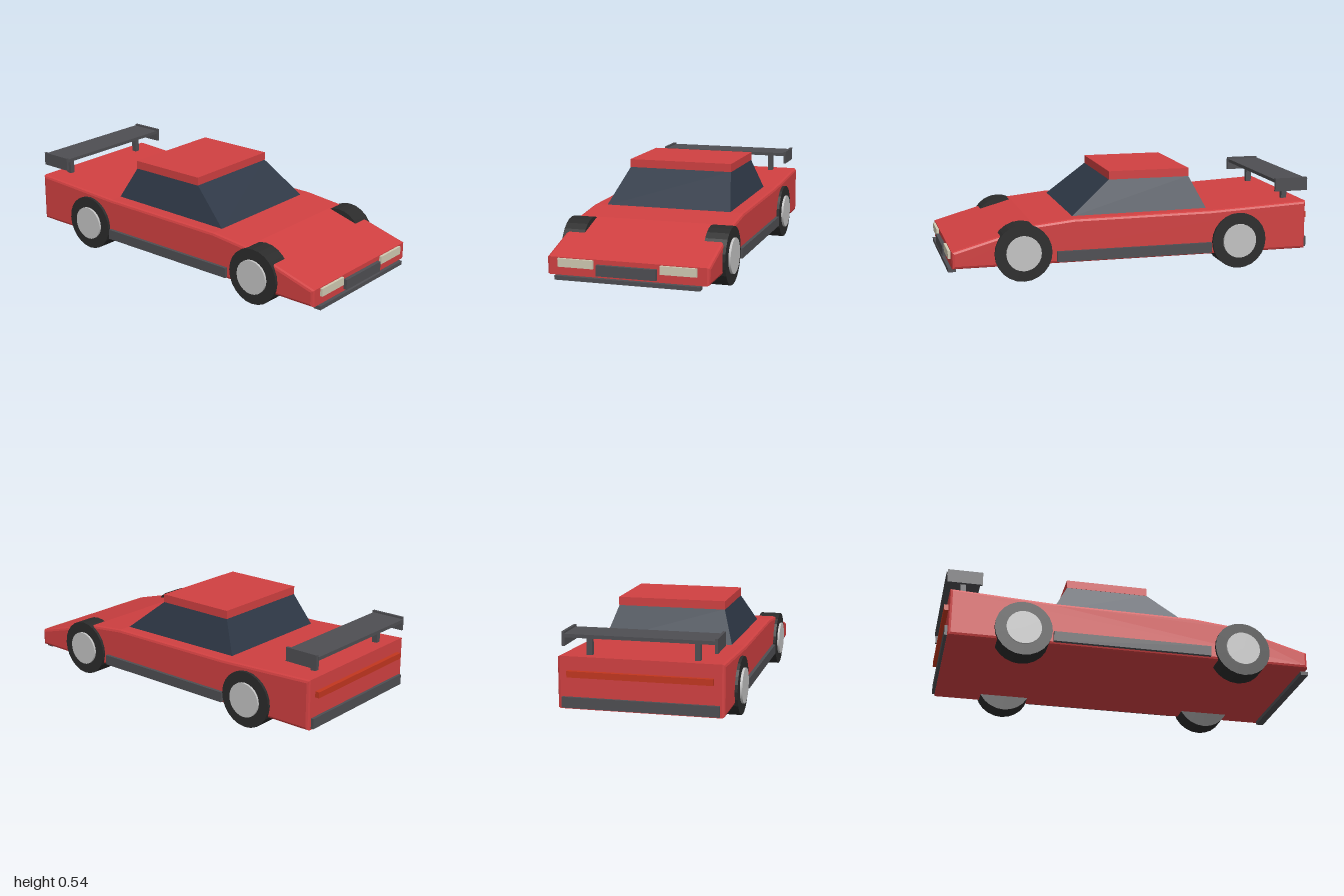
import * as THREE from 'three';

const mat = (name, color, extra = {}) => {
  const m = new THREE.MeshStandardMaterial({ color });
  m.name = name;
  return Object.assign(m, extra);
};

export function createModel() {
  const car = new THREE.Group();
  car.name = 'sportsCar';

  const red = mat('bodyRed', 0xd04041, { flatShading: true });
  const glass = mat('darkGlass', 0x2e3846, { flatShading: true });
  const grey = mat('trimGrey', 0x4e4e52);
  const rubber = mat('tyreBlack', 0x2b2b2b, { flatShading: true });
  const silver = mat('rimSilver', 0xc2c2c2);
  const cream = mat('headlightCream', 0xd0cab2);
  const tail = mat('tailLightRed', 0xc2361f);

  const add = (name, geometry, material, parent = car) => {
    const mesh = new THREE.Mesh(geometry, material);
    mesh.name = name;
    parent.add(mesh);
    return mesh;
  };
  // Box given by its minimum and maximum on each axis
  const box = (name, material, [x0, x1], [y0, y1], [z0, z1], parent) => {
    const g = new THREE.BoxGeometry(x1 - x0, y1 - y0, z1 - z0);
    g.translate((x0 + x1) / 2, (y0 + y1) / 2, (z0 + z1) / 2);
    return add(name, g, material, parent);
  };
  const span = (side, a, b) => (side > 0 ? [a, b] : [-b, -a]);

  // Wedge body: side profile (z, y) extruded across the width
  const bevel = 0.015;
  const profile = [
    [0.963, 0.098], [0.963, 0.163], [0.545, 0.281], [0.33, 0.303],
    [-0.42, 0.309], [-0.96, 0.335], [-0.96, 0.098],
  ].map(([z, y]) => new THREE.Vector2(z, y));
  const body = new THREE.ExtrudeGeometry(new THREE.Shape(profile), {
    depth: 0.82, bevelEnabled: true, bevelSize: bevel, bevelThickness: bevel, bevelSegments: 2,
  });
  body.translate(0, 0, -0.41);
  body.rotateY(-Math.PI / 2);
  add('body', body, red);

  // Glass cabin: a box whose four top and bottom corners are moved
  const cabin = new THREE.BoxGeometry(2, 2, 2);
  const p = cabin.attributes.position;
  for (let i = 0; i < p.count; i++) {
    const top = p.getY(i) > 0;
    const front = p.getZ(i) > 0;
    p.setXYZ(i, Math.sign(p.getX(i)) * (top ? 0.29 : 0.35), top ? 0.497 : 0.314,
      top ? (front ? 0.11 : -0.335) : (front ? 0.333 : -0.425));
  }
  cabin.computeVertexNormals();
  add('cabinGlass', cabin, glass);
  box('roof', red, [-0.292, 0.292], [0.495, 0.54], [-0.337, 0.112]);

  // Nose and tail trim
  box('grille', grey, [-0.157, 0.157], [0.095, 0.15], [0.96, 0.998]);
  box('frontSplitter', grey, [-0.38, 0.38], [0.06, 0.081], [0.953, 0.995]);
  box('rearBumper', grey, [-0.4, 0.4], [0.09, 0.145], [-0.99, -0.96]);
  box('tailLightBar', tail, [-0.37, 0.37], [0.248, 0.28], [-0.998, -0.97]);

  // Rear wing
  const wing = new THREE.Group();
  wing.name = 'rearWing';
  car.add(wing);
  box('wingBlade', grey, [-0.38, 0.38], [0.45, 0.468], [-0.998, -0.81], wing);

  for (const side of [1, -1]) {
    const label = side > 0 ? 'left' : 'right';
    box(label + 'WingEndPlate', grey, span(side, 0.378, 0.392), [0.405, 0.478], [-0.992, -0.805], wing);
    box(label + 'WingPost', grey, span(side, 0.262, 0.29), [0.33, 0.452], [-0.914, -0.884], wing);
    box(label + 'Headlight', cream, span(side, 0.175, 0.363), [0.127, 0.17], [0.96, 0.992]);
    box(label + 'SideSkirt', grey, span(side, 0.4, 0.443), [0.095, 0.15], [-0.425, 0.428]);

    // Wheels: tyre with a slightly proud rim disc
    for (const [end, z] of [['Front', 0.606], ['Rear', -0.584]]) {
      const wheel = new THREE.Group();
      wheel.name = label + end + 'Wheel';
      wheel.position.set(0, 0.152, z);
      car.add(wheel);
      const tyre = new THREE.CylinderGeometry(0.152, 0.152, 0.117, 24);
      tyre.rotateZ(Math.PI / 2).translate(side * 0.3815, 0, 0);
      add('tyre', tyre, rubber, wheel);
      const rim = new THREE.CylinderGeometry(0.093, 0.093, 0.03, 24);
      rim.rotateZ(Math.PI / 2).translate(side * 0.437, 0, 0);
      add('rim', rim, silver, wheel);
    }
  }
  return car;
}
